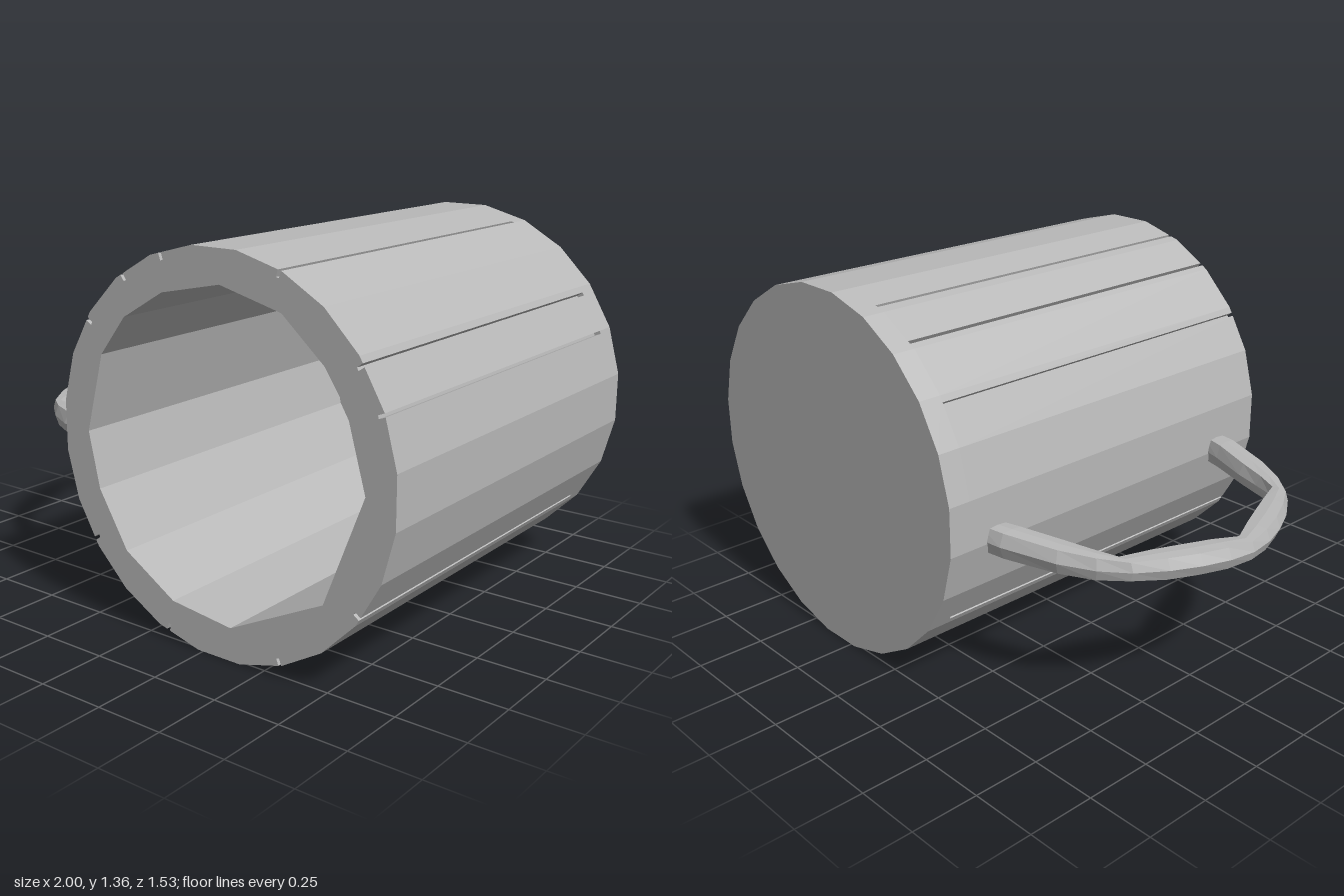
import * as THREE from 'three';

const CX = 0.3175, CY = 0.6825, R = 0.686, SIDES = 24;
const FLOOR = -0.68, BACK = -0.765, FRONT = 0.765;
const STEP = (Math.PI * 2) / SIDES;

// Radius of the faceted outer wall at a given angle (flat side on top)
function wallRadius(a) {
  const d = a - Math.round(a / STEP) * STEP;
  return (R * Math.cos(STEP / 2)) / Math.cos(d);
}

// Outer outline, optionally cut by narrow lengthwise grooves (angles in degrees)
function outline(grooves = []) {
  const pts = [];
  const add = (a, inset = 0) => pts.push({ a, r: wallRadius(a) - inset });
  for (let i = 0; i < SIDES; i++) add((i + 0.5) * STEP);
  for (const deg of grooves) {
    const a = THREE.MathUtils.degToRad(deg), w = 0.009;
    add(a - w); add(a - w + 0.0005, 0.025);
    add(a + w - 0.0005, 0.025); add(a + w);
  }
  pts.sort((p, q) => p.a - q.a);
  return new THREE.Shape(pts.map(p =>
    new THREE.Vector2(CX + p.r * Math.cos(p.a), CY + p.r * Math.sin(p.a))));
}

function extrude(shape, z0, z1) {
  return new THREE.ExtrudeGeometry(shape, { depth: z1 - z0, bevelEnabled: false })
    .translate(0, 0, z0);
}

// Sweep of eight-sided sections between an outer and an inner edge.
// Each station: outer x, outer z, inner x, inner z, middle y, half height
function handleGeometry(stations) {
  const n = 8, pos = [], idx = [];
  for (const [ox, oz, ix, iz, y, h] of stations) {
    for (let j = 0; j < n; j++) {
      const a = (j / n) * Math.PI * 2;
      const c = Math.cos(a), s = Math.max(-1, Math.min(1, Math.sin(a) * 1.3));
      pos.push((ox + ix) / 2 + c * (ox - ix) / 2, y + s * h, (oz + iz) / 2 + c * (oz - iz) / 2);
    }
  }
  for (let i = 0; i < stations.length - 1; i++) {
    for (let j = 0; j < n; j++) {
      const a = i * n + j, b = i * n + (j + 1) % n;
      idx.push(a, a + n, b, b, a + n, b + n);
    }
  }
  const g = new THREE.BufferGeometry();
  g.setAttribute('position', new THREE.Float32BufferAttribute(pos, 3));
  g.setIndex(idx);
  const flat = g.toNonIndexed();
  flat.computeVertexNormals();
  return flat;
}

export function createModel() {
  const group = new THREE.Group();
  const grey = new THREE.MeshStandardMaterial({ color: 0xb8b8b8 });
  grey.name = 'grey';
  const add = (name, geometry) => {
    const mesh = new THREE.Mesh(geometry, grey);
    mesh.name = name;
    group.add(mesh);
  };

  // Wall: grooved outside, irregular faceted bore
  const wall = outline([22, 35, 68, 109, 125, 145, 215, 251, 292, 325]);
  wall.holes.push(new THREE.Path([
    [0.34, 1.25], [0.58, 1.19], [0.74, 1.05], [0.82, 0.93], [0.89, 0.68],
    [0.74, 0.30], [0.37, 0.12], [0.12, 0.15], [-0.09, 0.28], [-0.21, 0.48],
    [-0.255, 0.68], [-0.18, 0.96], [-0.07, 1.10], [0.10, 1.20],
  ].map(([x, y]) => new THREE.Vector2(x, y))));
  add('mugWall', extrude(wall, FLOOR, FRONT));

  // Solid base closing the back end
  add('mugBase', extrude(outline(), BACK, FLOOR));

  // Handle: four bulging links pinched at the joints, mirrored front to back
  const half = [
    [-0.32, -0.615, -0.32, -0.525, 0.6, 0.05],
    [-0.42, -0.605, -0.42, -0.495, 0.6, 0.05],
    [-0.62, -0.54, -0.57, -0.445, 0.593, 0.046],
    [-0.74, -0.475, -0.67, -0.42, 0.59, 0.043],
    [-0.83, -0.40, -0.75, -0.395, 0.59, 0.036],
    [-0.90, -0.30, -0.79, -0.29, 0.59, 0.042],
    [-0.95, -0.20, -0.83, -0.19, 0.59, 0.042],
    [-0.985, -0.10, -0.875, -0.09, 0.59, 0.042],
  ];
  const mirrored = half.map(([ox, oz, ix, iz, y, h]) => [ox, -oz, ix, -iz, y, h]).reverse();
  add('handle', handleGeometry([...half, [-1, 0, -0.92, 0, 0.59, 0.036], ...mirrored]));

  return group;
}
